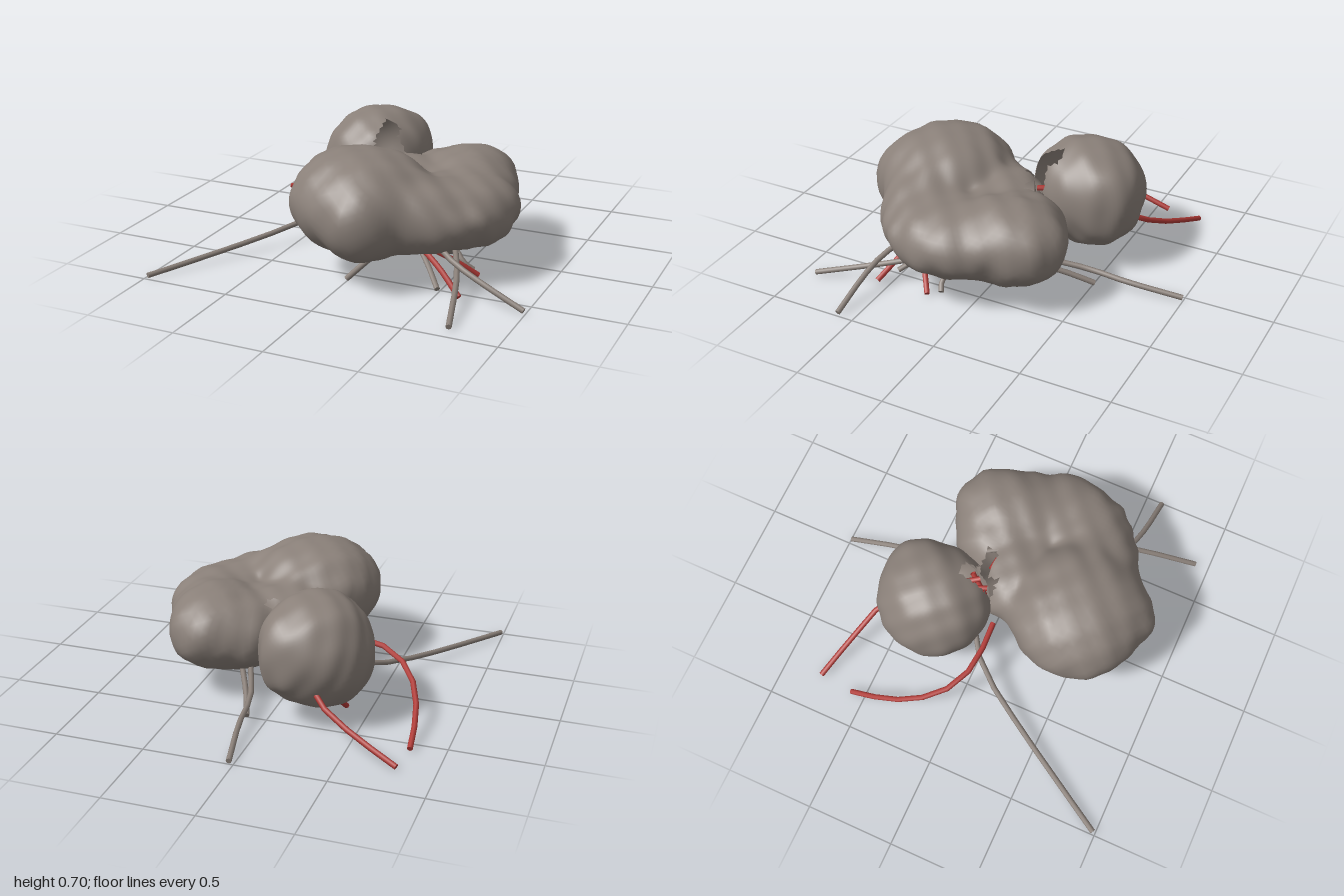
import * as THREE from 'three';
import { mergeVertices } from 'three/addons/utils/BufferGeometryUtils.js';

const stone = new THREE.MeshStandardMaterial({ color: 0x8a8079, side: THREE.DoubleSide });
stone.name = 'stone grey';
const red = new THREE.MeshStandardMaterial({ color: 0xb03a36, side: THREE.DoubleSide });
red.name = 'red';

// Each lobe is [cx, cy, cz, rx, ry, rz]
const bodyLobes = [
  [0.02, 0.42, 0.44, 0.37, 0.275, 0.36],
  [0.11, 0.38, 0.58, 0.2, 0.22, 0.27],
  [0.25, 0.375, 0.42, 0.36, 0.205, 0.25],
  [0.42, 0.36, -0.14, 0.25, 0.225, 0.32],
  [0.25, 0.35, -0.14, 0.2, 0.19, 0.24],
  [0.5, 0.355, 0.17, 0.285, 0.19, 0.34],
  [0.33, 0.25, 0.05, 0.23, 0.195, 0.3],
  [0.08, 0.37, 0.05, 0.25, 0.18, 0.22],
];
const headLobes = [
  [-0.22, 0.42, -0.31, 0.285, 0.275, 0.31],
  [-0.25, 0.34, -0.32, 0.28, 0.26, 0.28],
  [-0.13, 0.4, -0.41, 0.18, 0.24, 0.225],
];

// Smoothly blended distance to a set of lobes, with slight lumps; a higher power gives fuller corners
function field(p, lobes, power) {
  const k = 0.022;
  let sum = 0;
  for (const [cx, cy, cz, rx, ry, rz] of lobes) {
    const q = (Math.abs((p.x - cx) / rx) ** power + Math.abs((p.y - cy) / ry) ** power
      + Math.abs((p.z - cz) / rz) ** power) ** (1 / power);
    sum += Math.exp(-(q - 1) * Math.min(rx, ry, rz) / k);
  }
  const lumps = 0.006 * Math.sin(17 * p.x + 4 * p.z) * Math.sin(16 * p.y + 1) * Math.sin(15 * p.z + 5 * p.x)
    + 0.005 * Math.sin(31 * p.x + 11 * p.y) * Math.sin(33 * p.z - 9 * p.y);
  return -k * Math.log(sum + 1e-30) + lumps;
}

// Jagged opening between the two masses
function inOpening(x, y, z) {
  if (y < 0.36) return false;
  const left = x > -0.13 && x < -0.03 && z > -0.21 && z < -0.02;
  const right = x >= -0.03 && x < 0.13 && z > -0.15 && z < -0.08;
  return left || right;
}

// Push a sphere's vertices out to the blended surface
function blob(name, center, lobes, power, detail) {
  let geo = new THREE.IcosahedronGeometry(1, detail);
  geo.deleteAttribute('uv');
  geo.deleteAttribute('normal');
  geo = mergeVertices(geo, 1e-4);
  const pos = geo.attributes.position;
  const dir = new THREE.Vector3(), p = new THREE.Vector3();
  const outside = (r) => field(p.copy(center).addScaledVector(dir, r), lobes, power) > 0;
  for (let i = 0; i < pos.count; i++) {
    dir.fromBufferAttribute(pos, i).normalize();
    let r = 1.2;
    while (r > 0.02 && outside(r)) r -= 0.02;
    let lo = r, hi = r + 0.02;
    for (let s = 0; s < 10; s++) {
      const mid = (lo + hi) / 2;
      if (outside(mid)) hi = mid; else lo = mid;
    }
    p.copy(center).addScaledVector(dir, lo);
    pos.setXYZ(i, p.x, p.y, p.z);
  }
  geo.computeVertexNormals();
  const src = geo.index.array, kept = [];
  for (let i = 0; i < src.length; i += 3) {
    const [a, b, c] = [src[i], src[i + 1], src[i + 2]];
    const mean = (f) => (pos[f](a) + pos[f](b) + pos[f](c)) / 3;
    if (!inOpening(mean('getX'), mean('getY'), mean('getZ'))) kept.push(a, b, c);
  }
  geo.setIndex(kept);
  const mesh = new THREE.Mesh(geo, stone);
  mesh.name = name;
  return mesh;
}

// Thin bent leg along a few points, foot first, with a closed foot
function leg(name, points, material) {
  const group = new THREE.Group();
  group.name = name;
  const pts = points.map((p) => new THREE.Vector3(...p));
  const curve = new THREE.CatmullRomCurve3(pts, false, 'centripetal');
  group.add(new THREE.Mesh(new THREE.TubeGeometry(curve, 7, 0.0155, 8), material));
  const cap = new THREE.Mesh(new THREE.CircleGeometry(0.0155, 8), material);
  cap.position.copy(pts[0]);
  cap.lookAt(pts[0].clone().sub(curve.getTangent(0)));
  group.add(cap);
  return group;
}

const greyLegs = [
  [[-0.985, 0.018, 0.985], [-0.78, 0.05, 0.64], [-0.58, 0.09, 0.31], [-0.4, 0.15, 0.05], [-0.22, 0.23, -0.08]],
  [[0.025, 0.018, -0.995], [0.085, 0.065, -0.69], [0.11, 0.1, -0.45], [0.2, 0.15, -0.2]],
  [[0.99, 0.018, 0.595], [0.73, 0.13, 0.57], [0.58, 0.19, 0.53], [0.42, 0.25, 0.42]],
  [[0.715, 0.018, 0.92], [0.61, 0.12, 0.55], [0.5, 0.18, 0.3], [0.42, 0.22, 0.15]],
  [[0.11, 0.018, -0.51], [0.17, 0.08, -0.36], [0.25, 0.14, -0.2], [0.32, 0.18, -0.05]],
  [[0.49, 0.018, 0.52], [0.4, 0.09, 0.42], [0.28, 0.17, 0.3]],
  [[0.0, 0.018, 0.59], [0.07, 0.09, 0.56], [0.14, 0.16, 0.52], [0.22, 0.24, 0.46]],
  [[0.57, 0.018, 0.2], [0.52, 0.06, 0.22], [0.45, 0.13, 0.18], [0.35, 0.2, 0.1]],
];
const redLegs = [
  [[-0.795, 0.018, -0.78], [-0.5, 0.13, -0.68], [-0.31, 0.23, -0.59], [-0.15, 0.35, -0.35], [-0.03, 0.43, -0.13]],
  [[-0.815, 0.018, -0.58], [-0.785, 0.11, -0.34], [-0.71, 0.2, -0.15], [-0.6, 0.26, -0.03], [-0.45, 0.3, 0.03], [-0.2, 0.32, 0.03]],
  [[0.63, 0.018, 0.57], [0.5, 0.12, 0.5], [0.34, 0.21, 0.42]],
  [[0.62, 0.018, 0.26], [0.5, 0.12, 0.34], [0.34, 0.21, 0.4]],
  [[-0.05, 0.018, -0.15], [-0.08, 0.11, -0.13], [-0.09, 0.3, -0.06], [-0.01, 0.42, -0.18]],
  [[-0.37, 0.018, -0.23], [-0.33, 0.12, -0.32], [-0.2, 0.3, -0.28], [-0.1, 0.42, -0.17], [-0.06, 0.42, -0.07]],
];

export function createModel() {
  const model = new THREE.Group();
  model.name = 'lumpyCreature';
  model.add(blob('body', new THREE.Vector3(0.24, 0.34, 0.2), bodyLobes, 2.15, 18));
  model.add(blob('head', new THREE.Vector3(-0.21, 0.39, -0.31), headLobes, 2.1, 14));
  // Short spar crossing the opening
  model.add(leg('innerSpar', [[0.06, 0.4, -0.1], [0.13, 0.4, -0.09]], red));
  greyLegs.forEach((pts, i) => model.add(leg('greyLeg' + (i + 1), pts, stone)));
  redLegs.forEach((pts, i) => model.add(leg('redLeg' + (i + 1), pts, red)));
  return model;
}
